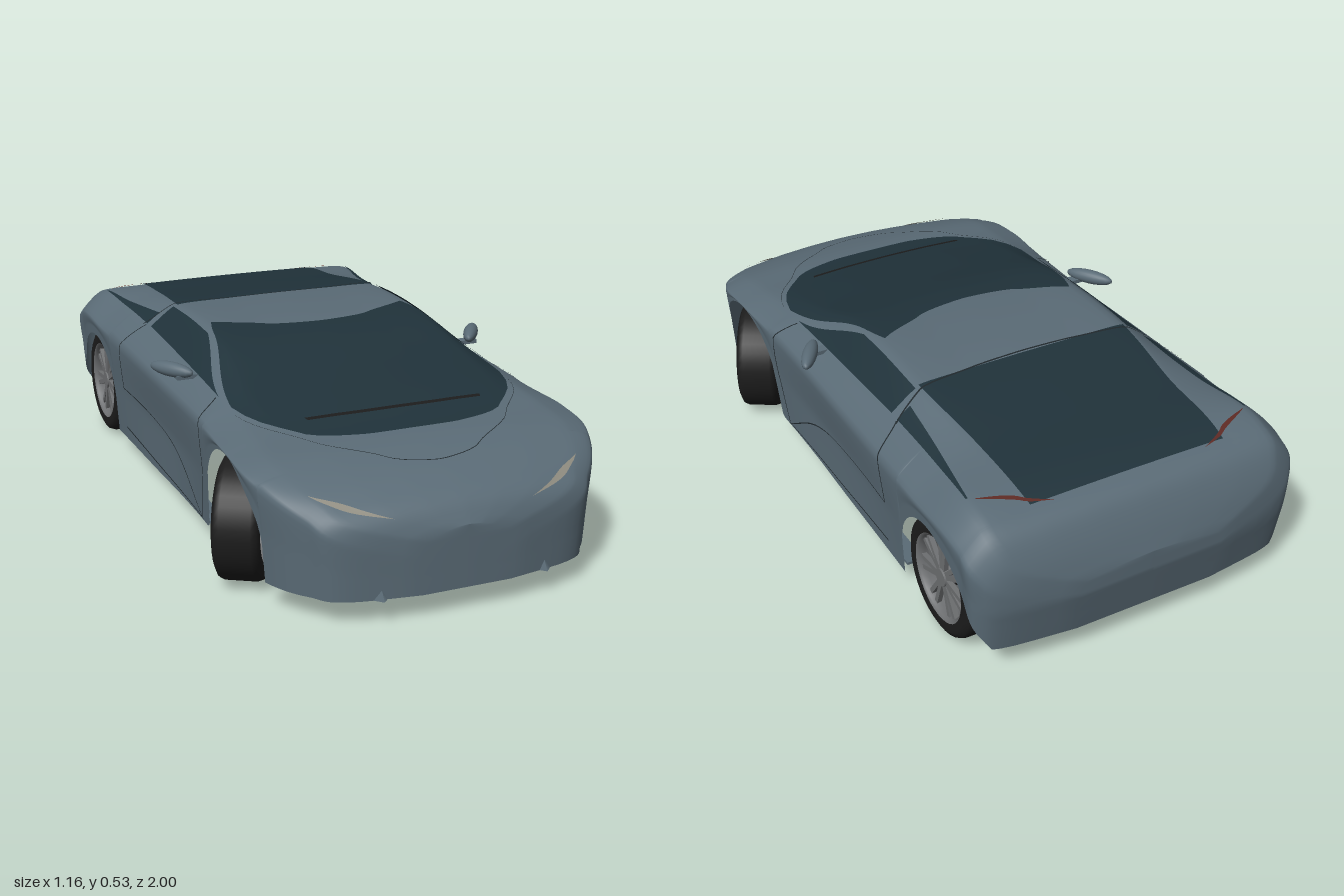
import * as THREE from 'three';

const mat = (color) => new THREE.MeshStandardMaterial({ color, side: THREE.DoubleSide });
const paint = mat(0x5a6b76), glass = mat(0x20323a), black = mat(0x1c1c1c), seamMat = mat(0x20282c);
const alloy = mat(0x6e7072), lamp = mat(0x8f8c80), red = mat(0x5e2a24);

// Cross-section rules along the car: z | half width, height of widest line,
// belt x, belt y, roof edge x, roof edge y, centre y
const stations = [
  [-1.0, 0.22, 0.22, 0.21, 0.26, 0.15, 0.27, 0.28],
  [-0.97, 0.42, 0.27, 0.38, 0.33, 0.27, 0.345, 0.352],
  [-0.93, 0.495, 0.33, 0.43, 0.40, 0.30, 0.412, 0.418],
  [-0.86, 0.51, 0.38, 0.44, 0.445, 0.31, 0.45, 0.453],
  [-0.6, 0.51, 0.385, 0.43, 0.455, 0.315, 0.485, 0.492],
  [-0.35, 0.505, 0.38, 0.425, 0.452, 0.335, 0.514, 0.52],
  [-0.1, 0.50, 0.375, 0.425, 0.442, 0.335, 0.522, 0.527],
  [0.1, 0.495, 0.37, 0.425, 0.432, 0.335, 0.505, 0.513],
  [0.3, 0.495, 0.37, 0.425, 0.42, 0.35, 0.452, 0.467],
  [0.45, 0.50, 0.37, 0.42, 0.405, 0.35, 0.42, 0.433],
  [0.6, 0.505, 0.367, 0.42, 0.39, 0.30, 0.395, 0.40],
  [0.75, 0.495, 0.345, 0.42, 0.368, 0.28, 0.377, 0.38],
  [0.9, 0.41, 0.28, 0.36, 0.31, 0.24, 0.325, 0.335],
  [0.97, 0.31, 0.22, 0.28, 0.26, 0.18, 0.28, 0.29],
  [1.0, 0.13, 0.17, 0.12, 0.215, 0.07, 0.235, 0.245],
];
const rules = new THREE.CubicInterpolant(
  stations.map((s) => s[0]), stations.flatMap((s) => s.slice(1)), 7, new Float32Array(7));
const lerp = THREE.MathUtils.lerp;

// Lower edge of the shell, raised over the wheels
const arches = [{ z: 0.575, r: 0.2 }, { z: -0.7, r: 0.18 }];
function bottomEdge(z) {
  if (z > 0.36 && z < 0.39) return 0.058 + (z - 0.36) * 6;
  if (z > -0.95 && z < -0.85) return 0.1 + (z + 0.95) * 1.6;
  for (const a of arches) {
    const d = Math.abs(z - a.z);
    if (d < a.r) return 0.16 + Math.sqrt(a.r * a.r - d * d);
  }
  return z > 0.7 ? 0.07 : z < -0.85 ? 0.085 : 0.058;
}

// Half-section points 0..6 run from left sill to roof centre, 7..12 mirror them
function section(z) {
  const [w, ym, xb, yb, xr, yr, yc] = rules.evaluate(z);
  const y0 = Math.min(bottomEdge(z), ym - 0.005), y1 = (y0 + ym) / 2;
  const sideX = (y) => w * (0.955 + (0.045 * y) / ym);
  const scoop = z > -0.5 && z < 0.35 ? 0.01 * Math.sin(((z + 0.5) / 0.85) * Math.PI) : 0;
  const half = [[sideX(y0), y0], [sideX(y1) - scoop, y1], [w, ym], [xb, yb], [xr, yr], [xr / 2, yc - (yc - yr) * 0.25]];
  const points = [...half, [0, yc], ...half.map(([x, y]) => [-x, y]).reverse()];
  return new THREE.CatmullRomCurve3(points.map(([x, y]) => new THREE.Vector3(x, y, 0)), false, 'catmullrom', 0.25);
}

function bodyPoint(curve, z, index) {
  const p = curve.getPoint(index / 12);
  const tuck = z < -0.85 ? ((-z - 0.85) / 0.15) * 0.2 * Math.max(0, 0.22 - p.y) : 0;
  p.z = z + tuck;
  return p;
}

// Surface from a grid of points
function gridMesh(name, material, rows) {
  const cols = rows[0].length, index = [];
  for (let i = 0; i < rows.length - 1; i++) {
    for (let j = 0; j < cols - 1; j++) {
      const a = i * cols + j, b = a + 1, c = a + cols, d = c + 1;
      index.push(a, b, c, b, d, c);
    }
  }
  const geometry = new THREE.BufferGeometry().setFromPoints(rows.flat());
  geometry.setIndex(index);
  geometry.computeVertexNormals();
  const mesh = new THREE.Mesh(geometry, material);
  mesh.name = name;
  return mesh;
}

// Patch following the shell at a small lift; rule(a, b) returns [z, section index]
function patch(name, material, rule, na, nb, lift) {
  const rows = [];
  for (let i = 0; i <= na; i++) {
    const row = [];
    for (let j = 0; j <= nb; j++) {
      const [z, k] = rule(i / na, j / nb);
      const p = bodyPoint(section(z), z, k);
      p.x += Math.sign(p.x) * lift * Math.min(1, Math.abs(p.x) * 2);
      p.y += lift;
      row.push(p);
    }
    rows.push(row);
  }
  return gridMesh(name, material, rows);
}

// Pane with an outer and an inner face
function pane(name, rule) {
  const group = new THREE.Group();
  group.name = name;
  group.add(patch(name + 'Outer', glass, rule, 24, 30, 0.003), patch(name + 'Inner', glass, rule, 24, 30, -0.004));
  return group;
}

function buildShell() {
  const zs = [];
  for (let i = 0; i <= 150; i++) zs.push(-Math.cos((i / 150) * Math.PI) * 0.35 + (i / 75 - 1) * 0.65);
  for (const a of arches) for (const e of [-1, 1]) zs.push(a.z + e * (a.r - 0.0004), a.z + e * (a.r + 0.0004), a.z + e * (a.r - 0.004));
  zs.sort((a, b) => a - b);
  const rows = zs.map((z) => {
    const curve = section(z);
    return Array.from({ length: 61 }, (_, j) => bodyPoint(curve, z, j / 5));
  });
  // nose and tail are closed by folding the last sections to the centre line
  const fold = (row) => row.map((p) => new THREE.Vector3(0, p.y, p.z));
  return gridMesh('bodyShell', paint, [fold(rows[0]), ...rows, fold(rows[rows.length - 1])]);
}

function buildWheel(name) {
  const wheel = new THREE.Group();
  wheel.name = name;
  const add = (part, geometry, material, x = 0) => {
    const m = new THREE.Mesh(geometry, material);
    m.name = part;
    m.position.x = x;
    wheel.add(m);
    return m;
  };
  const lathe = (pts) => new THREE.LatheGeometry(pts.map(([r, y]) => new THREE.Vector2(r, y)), 36).rotateZ(-Math.PI / 2);
  add('tyre', lathe([[0.124, -0.06], [0.15, -0.065], [0.166, -0.057], [0.172, -0.042], [0.172, 0.042], [0.166, 0.057], [0.15, 0.065], [0.124, 0.06]]), black);
  add('rim', lathe([[0.125, -0.058], [0.117, -0.045], [0.115, 0.04], [0.119, 0.057], [0.127, 0.062]]), alloy);
  add('hub', new THREE.CylinderGeometry(0.026, 0.03, 0.03, 20).rotateZ(-Math.PI / 2), alloy, 0.04);
  add('brakeDisc', new THREE.CylinderGeometry(0.078, 0.078, 0.012, 28).rotateZ(-Math.PI / 2), alloy, 0.005);
  add('axleStub', new THREE.CylinderGeometry(0.034, 0.034, 0.16, 12).rotateZ(Math.PI / 2), black, -0.065);
  // seven pairs of spokes
  for (let i = 0; i < 14; i++) {
    const spoke = add('spoke', new THREE.BoxGeometry(0.014, 0.1, 0.014).translate(0, 0.069, 0), alloy, 0.043);
    spoke.rotation.x = (Math.floor(i / 2) * Math.PI * 2) / 7 + (i % 2 ? 0.14 : -0.14);
  }
  return wheel;
}

function buildMirror(side) {
  const mirror = new THREE.Group();
  mirror.name = side > 0 ? 'leftMirror' : 'rightMirror';
  const housing = new THREE.Mesh(new THREE.SphereGeometry(1, 20, 12), paint);
  housing.name = 'mirrorHousing';
  housing.scale.set(0.022, 0.022, 0.078);
  housing.position.set(side * 0.488, 0.444, 0.08);
  housing.rotation.y = side * -0.58;
  const stem = new THREE.Mesh(new THREE.BoxGeometry(0.07, 0.012, 0.03), paint);
  stem.name = 'mirrorStem';
  stem.position.set(side * 0.45, 0.428, 0.11);
  mirror.add(housing, stem);
  return mirror;
}

export function createModel() {
  const car = new THREE.Group();
  car.name = 'car';
  car.add(buildShell());

  // Windscreen and rear window
  car.add(pane('windscreen', (a, b) => {
    const s = b * 2 - 1;
    return [lerp(0.03 - 0.1 * s * s, 0.67 - 0.28 * s ** 4, a), 6 - s * lerp(-1.8, -2.85, a)];
  }));
  car.add(pane('rearWindow', (a, b) => [lerp(-0.865, -0.325, a), 6 + (b * 2 - 1) * lerp(1.9, 2, a)]));
  car.add(patch('wiper', black, (a, b) => [0.555 + a * 0.014 - 0.03 * (b - 0.5) ** 2, lerp(4.4, 7.6, b)], 1, 24, 0.012));
  // Panel gaps across the roof and the bonnet
  car.add(patch('roofSeam', seamMat, (a, b) => [-0.322 + a * 0.006 - 0.06 * (2 * b - 1) ** 2, lerp(2.9, 9.1, b)], 1, 36, 0.005));
  car.add(patch('bonnetSeam', seamMat, (a, b) => [0.83 - 0.4 * (2 * b - 1) ** 2 + a * 0.003, lerp(3, 9, b)], 1, 36, 0.001));

  for (const side of [1, -1]) {
    const word = side > 0 ? 'left' : 'right';
    const mirrored = (rule) => (a, b) => { const [z, k] = rule(a, b); return [z, side > 0 ? k : 12 - k]; };
    const sidePatch = (name, m, rule, na, nb, lift) => car.add(patch(word + name, m, mirrored(rule), na, nb, lift));
    car.add(pane(word + 'SideWindow', mirrored((a, b) => [lerp(-0.33, lerp(0.31, 0.0, b), a), lerp(3.05, 3.85, b)])));
    car.add(pane(word + 'QuarterWindow', mirrored((a, b) => [lerp(-0.78, -0.365, a), lerp(3.03, 3.1 + 0.4 * a, b)])));
    sidePatch('Headlight', lamp, (a, b) => [lerp(0.972, 0.865, a) + 0.03 * (b - 0.5) * Math.sin(a * Math.PI), lerp(3.75, 2.95, a)], 14, 2, 0.005);
    sidePatch('Taillight', red, (a, b) => [lerp(-0.875, -0.79, a) + 0.015 * (b - 0.5) * Math.sin(a * Math.PI), lerp(4.5, 3.2, a)], 14, 2, 0.004);
    // Inner door panel, then door and side panel gaps
    sidePatch('DoorInnerPanel', paint, (a, b) => [lerp(-0.38, 0.29, a), lerp(0.1, 2.8, b)], 16, 10, -0.025);
    sidePatch('DoorFrontSeam', seamMat, (a, b) => [lerp(0.3, 0.345, Math.sin(b * Math.PI)) + a * 0.005, lerp(0.1, 2.9, b)], 1, 14, 0.002);
    sidePatch('DoorRearSeam', seamMat, (a, b) => [-0.42 + 0.05 * b * b + a * 0.005, lerp(1.1, 2.95, b)], 1, 14, 0.002);
    sidePatch('ScoopSeam', seamMat, (a, b) => [lerp(0.31, -0.42, b), 1.1 * (1 - (1 - b) ** 3) + a * 0.025], 1, 20, 0.002);
    sidePatch('SillSeam', seamMat, (a, b) => [lerp(0.3, -0.42, b), lerp(0.05, 0.28, b) + a * 0.025], 1, 20, 0.002);
    car.add(buildMirror(side));

    // Inward flange under the door
    const flange = new THREE.Mesh(new THREE.BoxGeometry(0.05, 0.008, 0.84), paint);
    flange.name = word + 'SillFlange';
    flange.position.set(side * 0.447, 0.064, -0.08);
    car.add(flange);

    // Small fin at each end of the front air dam
    const fin = new THREE.Mesh(new THREE.ConeGeometry(0.035, 0.055, 4), paint);
    fin.name = word + 'FrontFin';
    fin.position.set(side * 0.235, 0.0975, 0.965);
    car.add(fin);

    // Wheels; the front pair is turned towards the car's right
    const front = buildWheel(word + 'FrontWheel'), rear = buildWheel(word + 'RearWheel');
    const flip = side > 0 ? 0 : Math.PI;
    front.position.set(side * 0.446, 0.172, 0.575);
    front.rotation.y = flip - 0.54;
    rear.position.set(side * 0.425, 0.172, -0.71);
    rear.rotation.y = flip;
    car.add(front, rear);
  }

  // Lip under the nose
  const lip = new THREE.Mesh(new THREE.BoxGeometry(0.42, 0.016, 0.05), seamMat);
  lip.name = 'frontLip';
  lip.position.set(0, 0.079, 0.958);
  car.add(lip);
  return car;
}
